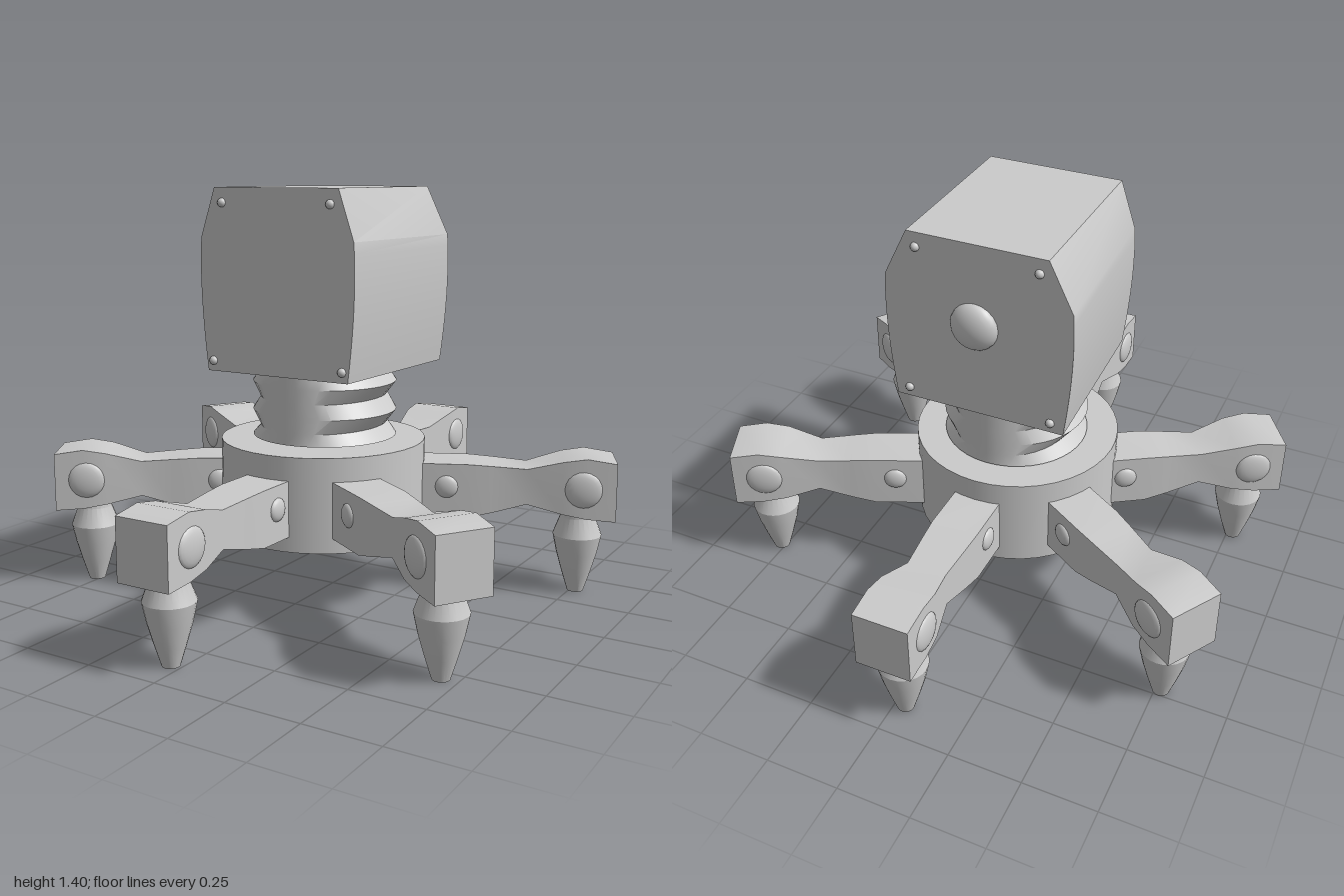
import * as THREE from 'three';
import { toCreasedNormals } from 'three/addons/utils/BufferGeometryUtils.js';

const material = new THREE.MeshStandardMaterial({ color: 0xcccccc });
const CX = -0.033; // x of the body axis

function add(parent, geometry, name, x = 0, y = 0, z = 0) {
  const mesh = new THREE.Mesh(geometry, material);
  mesh.name = name;
  mesh.position.set(x, y, z);
  parent.add(mesh);
  return mesh;
}

// Shallow dome bulging along +z
function domeGeometry(radius, height) {
  const g = new THREE.SphereGeometry(radius, 20, 6, 0, Math.PI * 2, 0, Math.PI / 2);
  g.scale(1, height / radius, 1);
  g.rotateX(Math.PI / 2);
  return g;
}

// Bellows: every second ring is pulled in sideways only
function neckGeometry() {
  const rows = [0.55, 0.59, 0.64, 0.69, 0.74, 0.78];
  const g = new THREE.CylinderGeometry(0.25, 0.25, 5, 40, 5);
  const p = g.attributes.position;
  for (let i = 0; i < p.count; i++) {
    const row = Math.round(p.getY(i) + 2.5);
    p.setX(i, p.getX(i) * (row % 2 ? 0.83 : 1));
    if (row === 5) p.setX(i, p.getX(i) * 1.0);
    p.setY(i, rows[row]);
  }
  return toCreasedNormals(g, 0.5);
}

// Chamfered head with bulging sides, narrower toward the front
function headGeometry() {
  const s = new THREE.Shape();
  s.moveTo(-0.295, 0.79);
  s.lineTo(0.295, 0.79);
  s.quadraticCurveTo(0.332, 1.05, 0.318, 1.235);
  s.lineTo(0.237, 1.4);
  s.lineTo(-0.237, 1.4);
  s.lineTo(-0.318, 1.235);
  s.quadraticCurveTo(-0.332, 1.05, -0.295, 0.79);
  const g = new THREE.ExtrudeGeometry(s, { depth: 0.61, bevelEnabled: false, curveSegments: 10 });
  g.translate(0, 0, -0.303);
  const p = g.attributes.position;
  for (let i = 0; i < p.count; i++) {
    if (p.getZ(i) > 0 && p.getY(i) < 1.3) p.setX(i, p.getX(i) * 0.92);
  }
  return toCreasedNormals(g, 0.4);
}

// Leg beam along z with its tip at z = 0: [z, bottom, top, half width]
function beamGeometry() {
  const sections = [
    [-0.76, 0.27, 0.46, 0.082], [-0.5, 0.272, 0.46, 0.082], [-0.42, 0.29, 0.455, 0.077],
    [-0.3, 0.322, 0.446, 0.068], [-0.18, 0.297, 0.48, 0.093], [-0.1, 0.283, 0.493, 0.096],
    [0, 0.276, 0.478, 0.095],
  ];
  const pos = [], idx = [];
  for (const [z, b, t, w] of sections) pos.push(-w, b, z, w, b, z, w, t, z, -w, t, z);
  for (let i = 0; i < sections.length - 1; i++) {
    for (let j = 0; j < 4; j++) {
      const a = i * 4 + j, b = i * 4 + (j + 1) % 4;
      idx.push(a, b, b + 4, a, b + 4, a + 4);
    }
  }
  const e = (sections.length - 1) * 4;
  idx.push(0, 2, 1, 0, 3, 2, e, e + 1, e + 2, e, e + 2, e + 3);
  const g = new THREE.BufferGeometry();
  g.setAttribute('position', new THREE.Float32BufferAttribute(pos, 3));
  g.setIndex(idx);
  return toCreasedNormals(g, 0.6);
}

// Turned foot, pointed at the ground
function footGeometry() {
  const profile = [[0, 0], [0.028, 0], [0.05, 0.07], [0.07, 0.14], [0.084, 0.205],
    [0.06, 0.27], [0.06, 0.31], [0, 0.31]].map(([x, y]) => new THREE.Vector2(x, y));
  return toCreasedNormals(new THREE.LatheGeometry(profile, 24), 0.4);
}

export function createModel() {
  const model = new THREE.Group();
  model.name = 'walker';

  // Body and neck
  add(model, new THREE.CylinderGeometry(0.355, 0.355, 0.32, 40), 'body', CX, 0.38, 0.01);
  add(model, neckGeometry(), 'neck', CX, 0, 0);

  // Head with corner screws and a rear dome
  const head = new THREE.Group();
  head.name = 'head';
  head.position.x = CX;
  model.add(head);
  add(head, headGeometry(), 'headCase');
  const screw = new THREE.SphereGeometry(0.015, 12, 8);
  for (const z of [-0.303, 0.307]) {
    for (const side of [-1, 1]) {
      add(head, screw, 'screw', side * 0.207, 1.35, z);
      add(head, screw, 'screw', side * 0.25, 0.825, z);
    }
  }
  add(head, domeGeometry(0.082, 0.046), 'rearDome', 0.01, 1.115, -0.302).rotation.y = Math.PI;

  // Legs: [tip x, tip z, heading in degrees from the front]
  const legs = [
    [-0.037, 0.995, 0], [-0.037, -1, 180], [0.794, 0.614, 56],
    [-0.87, 0.447, -58], [-0.87, -0.537, -122], [0.876, -0.43, 114],
  ];
  const beam = beamGeometry(), foot = footGeometry();
  const bigCap = domeGeometry(0.064, 0.02), smallCap = domeGeometry(0.04, 0.018);
  for (const [x, z, heading] of legs) {
    const leg = new THREE.Group();
    leg.name = 'leg';
    leg.position.set(x, 0, z);
    leg.rotation.y = THREE.MathUtils.degToRad(heading);
    model.add(leg);
    add(leg, beam, 'legBeam');
    add(leg, foot, 'foot', 0, 0, -0.12);
    for (const side of [-1, 1]) {
      add(leg, bigCap, 'ankleCap', side * 0.092, 0.385, -0.11).rotation.y = side * Math.PI / 2;
      add(leg, smallCap, 'hipCap', side * 0.08, 0.38, -0.575).rotation.y = side * Math.PI / 2;
    }
  }
  return model;
}
